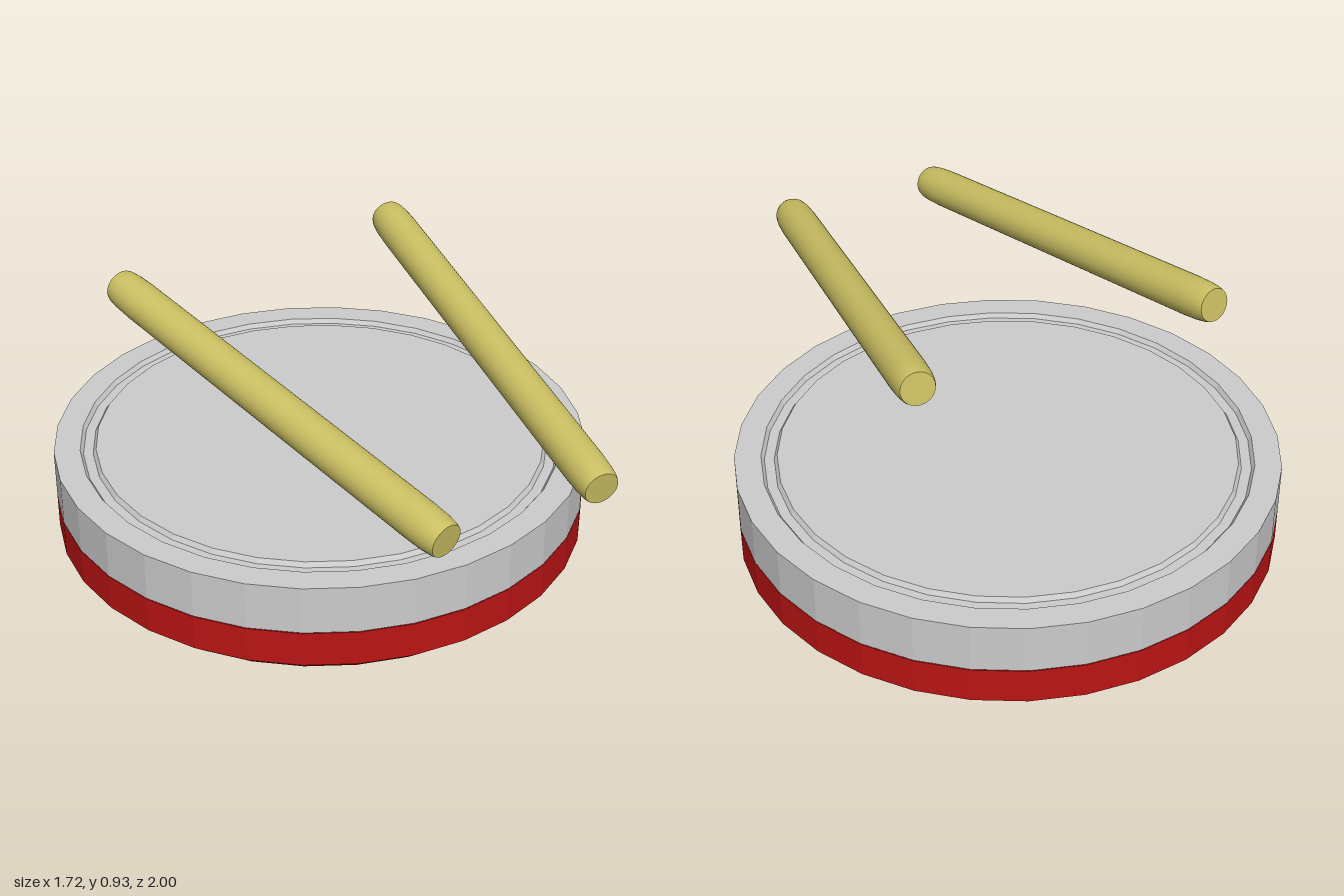
import * as THREE from 'three';

const SIDES = 32;

// Turned solid from a profile listed bottom to top
function turned(name, profile, sides, material) {
  const points = profile.map(([r, y]) => new THREE.Vector2(r, y));
  const mesh = new THREE.Mesh(new THREE.LatheGeometry(points, sides), material);
  mesh.name = name;
  return mesh;
}

// Round stick with softened rims and flat ends, laid between two points
function stick(name, front, back, material) {
  const a = new THREE.Vector3(...front), b = new THREE.Vector3(...back);
  const dir = b.clone().sub(a), h = dir.length() / 2;
  const group = new THREE.Group();
  group.name = name;
  const shaft = [[0.053, -h], [0.057, -h + 0.012], [0.061, -h + 0.045], [0.063, -h + 0.1],
    [0.063, h - 0.1], [0.061, h - 0.045], [0.057, h - 0.012], [0.053, h]];
  group.add(turned('shaft', shaft, SIDES, material));
  for (const s of [-1, 1]) {
    const cap = new THREE.Mesh(new THREE.CircleGeometry(0.053, SIDES), material);
    cap.name = 'endCap';
    cap.rotation.x = -s * Math.PI / 2;
    cap.position.y = s * h;
    group.add(cap);
  }
  group.position.copy(a).add(b).multiplyScalar(0.5);
  group.quaternion.setFromUnitVectors(new THREE.Vector3(0, 1, 0), dir.normalize());
  return group;
}

export function createModel() {
  const model = new THREE.Group();
  const grey = new THREE.MeshStandardMaterial({ color: 0xcccccc, flatShading: true });
  const red = new THREE.MeshStandardMaterial({ color: 0xbb1414, flatShading: true });
  const wood = new THREE.MeshStandardMaterial({ color: 0xcabf62 });

  // Drum body: bevelled base below, rim with a ring groove around the head above
  const drum = new THREE.Group();
  drum.name = 'drum';
  drum.position.z = -0.138;
  drum.add(turned('base',
    [[0, 0], [0.81, 0], [0.862, 0.045], [0.862, 0.162], [0, 0.162]], SIDES, red));
  drum.add(turned('rimAndHead',
    [[0, 0.165], [0.862, 0.165], [0.862, 0.325], [0.778, 0.325], [0.768, 0.31],
      [0.737, 0.31], [0.727, 0.325], [0, 0.325]], SIDES, grey));
  model.add(drum);

  // Pair of sticks hovering above the head
  model.add(stick('rightStick', [-0.254, 0.655, 0.983], [-0.539, 0.873, -0.437], wood));
  model.add(stick('leftStick', [0.265, 0.655, 0.99], [0.439, 0.873, -0.442], wood));
  return model;
}
